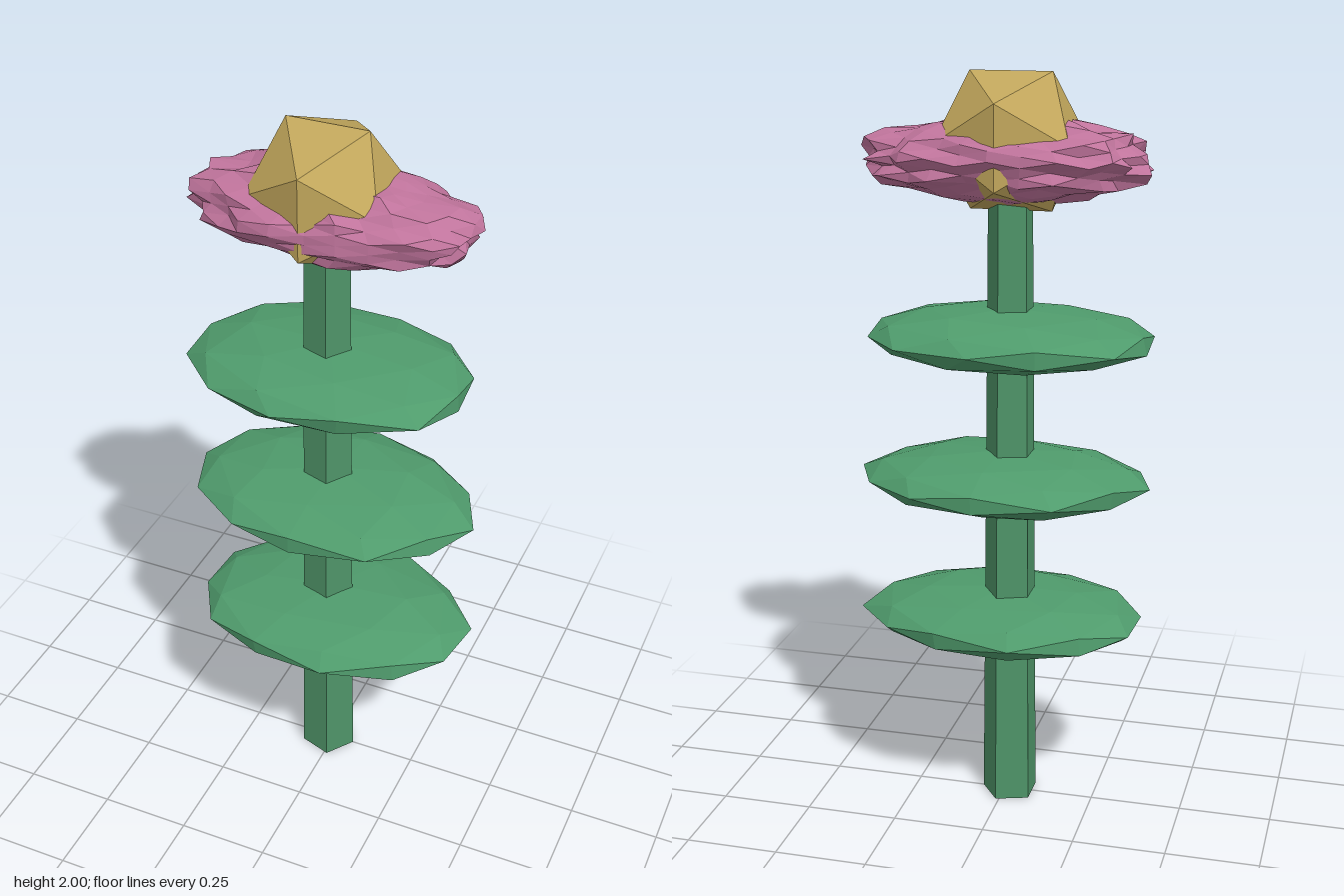
import * as THREE from 'three';

const material = (color) => new THREE.MeshStandardMaterial({ color, flatShading: true });

// Repeatable value in 0..1 for a vertex, so shared corners move together
function hash(v, seed) {
  const q = (n) => Math.round(n * 1000);
  const s = Math.sin(q(v.x) * 12.9898 + q(v.y) * 78.233 + q(v.z) * 37.719 + seed) * 43758.5453;
  return s - Math.floor(s);
}

// Faceted ellipsoid whose vertices are pushed in or out between low and high
function roughBlob(detail, size, low, high, seed, turn = 0) {
  const geo = new THREE.IcosahedronGeometry(1, detail);
  const pos = geo.attributes.position;
  const v = new THREE.Vector3();
  for (let i = 0; i < pos.count; i++) {
    v.fromBufferAttribute(pos, i);
    v.multiplyScalar(low + (high - low) * hash(v, seed));
    pos.setXYZ(i, v.x, v.y, v.z);
  }
  geo.rotateY(turn);
  geo.scale(...size);
  geo.computeVertexNormals();
  return geo;
}

export function createModel() {
  const model = new THREE.Group();
  const centreX = -0.015;
  const green = material(0x4f9468);
  const leafGreen = material(0x4f9b6c);

  const add = (name, geo, mat, x, y, z = 0) => {
    const mesh = new THREE.Mesh(geo, mat);
    mesh.name = name;
    mesh.position.set(x, y, z);
    model.add(mesh);
  };

  // Tapered five-sided stem with one corner toward +x
  const stem = new THREE.CylinderGeometry(0.06, 0.078, 1.78, 5);
  stem.rotateY(Math.PI / 2);
  add('stem', stem, green, centreX, 0.89);

  // Three flat leaf discs
  [[0.535, 0.005, 0.01, 0.2], [0.93, 0.005, -0.005, 0.5], [1.32, -0.015, -0.012, 0.9]].forEach(
    ([y, x, z, turn], i) => {
      add(`leafDisc${i + 1}`, roughBlob(1, [0.395, 0.077, 0.285], 0.96, 1.02, i * 5, turn), leafGreen, x, y, z);
    });

  // Spiky oval ring of petals
  add('petals', roughBlob(4, [0.4, 0.112, 0.19], 0.86, 1.05, 3), material(0xc0749c), 0, 1.78);

  // Faceted flower centre
  add('flowerCentre', new THREE.IcosahedronGeometry(0.206, 0), material(0xc2a75c), centreX, 1.825);

  return model;
}
